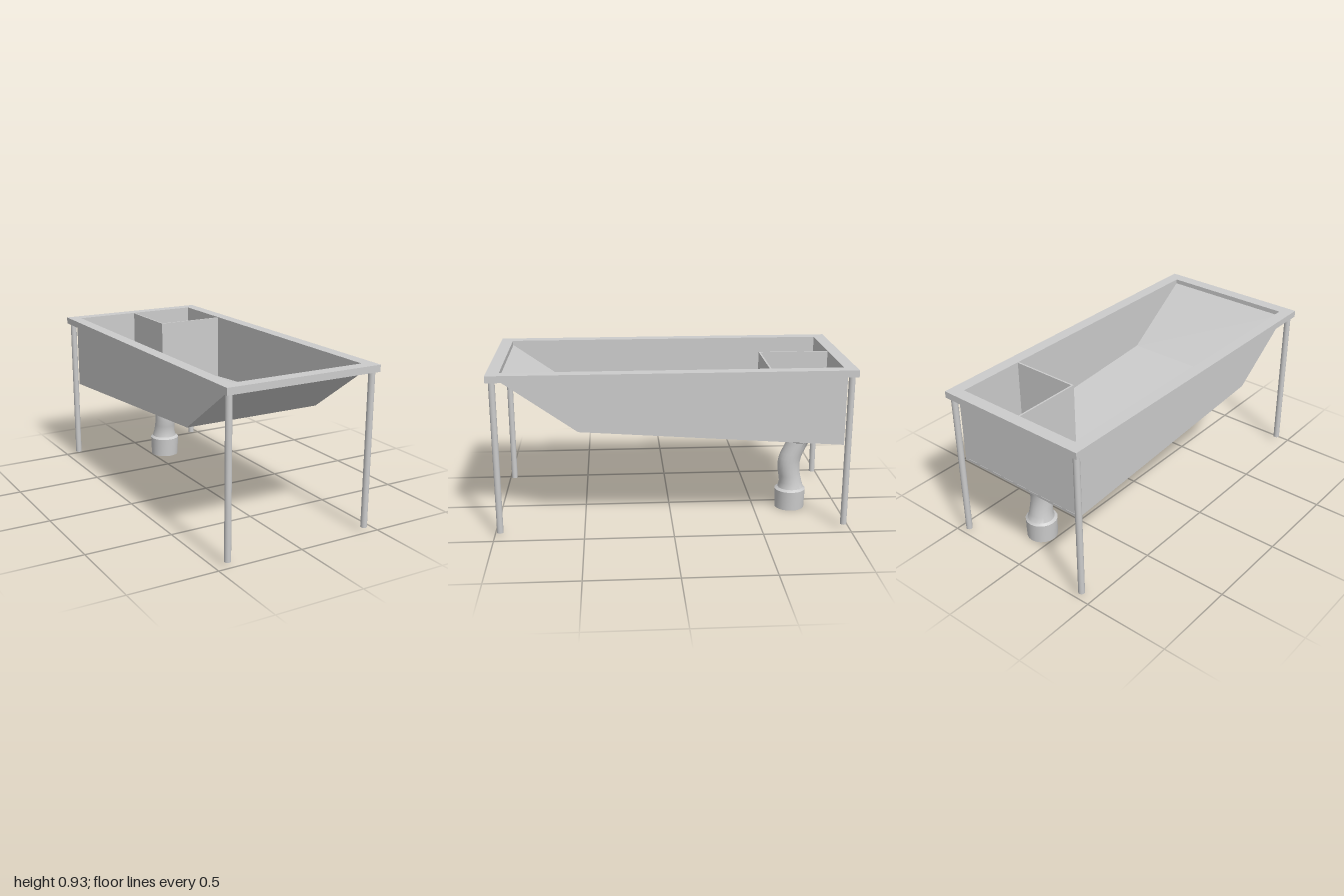
import * as THREE from 'three';
import { toCreasedNormals } from 'three/addons/utils/BufferGeometryUtils.js';

const DRAIN = { x: 0.088, z: -0.763, r: 0.087 };
const FLOOR_FRONT = [0.52, 0.595]; // z, y of the underside
const FLOOR_BACK = [-0.95, 0.49];
const SLOPE_TOP = [0.937, 0.89];

export function createModel() {
  const group = new THREE.Group();
  const grey = new THREE.MeshStandardMaterial({ color: 0xcccccc });
  const greyDouble = new THREE.MeshStandardMaterial({ color: 0xcccccc, side: THREE.DoubleSide });

  const add = (name, geometry, material = grey) => {
    const mesh = new THREE.Mesh(geometry, material);
    mesh.name = name;
    group.add(mesh);
    return mesh;
  };

  const rectangle = (ShapeType, x0, y0, x1, y1) => {
    const s = new ShapeType();
    s.moveTo(x0, y0).lineTo(x1, y0).lineTo(x1, y1).lineTo(x0, y1).closePath();
    return s;
  };

  const extrude = (shape, depth, curveSegments = 12) =>
    new THREE.ExtrudeGeometry(shape, { depth, bevelEnabled: false, curveSegments });

  // Upright sheet from [z, y] corners, spanning x to x + thickness
  const sheet = (corners, x, thickness) => {
    const shape = new THREE.Shape(corners.map(([z, y]) => new THREE.Vector2(-z, y)));
    return extrude(shape, thickness).rotateY(Math.PI / 2).translate(x, 0, 0);
  };

  // Matrix for a plane through [z, y] points a and b: local y runs a to b, local z points up
  const planeMatrix = (a, b) => {
    const right = new THREE.Vector3(1, 0, 0);
    const along = new THREE.Vector3(0, b[1] - a[1], b[0] - a[0]).normalize();
    const up = new THREE.Vector3().crossVectors(right, along);
    return new THREE.Matrix4().makeBasis(right, along, up).setPosition(0, a[1], a[0]);
  };

  // Rim
  const rim = rectangle(THREE.Shape, -0.46, -1, 0.46, 1);
  rim.holes.push(rectangle(THREE.Path, -0.39, -0.93, 0.39, 0.93));
  add('rim', extrude(rim, 0.038).rotateX(-Math.PI / 2).translate(0, 0.89, 0));

  // Side walls and back wall
  const profile = [SLOPE_TOP, FLOOR_FRONT, FLOOR_BACK, [-0.95, 0.89]];
  add('leftWall', sheet(profile, 0.39, 0.022));
  add('rightWall', sheet(profile, -0.412, 0.022));
  const back = new THREE.BoxGeometry(0.78, 0.4, 0.02);
  add('backWall', back.translate(0, 0.69, -0.94));

  // Floor with the drain opening
  const floorMatrix = planeMatrix(FLOOR_FRONT, FLOOR_BACK);
  const floorLength = Math.hypot(FLOOR_FRONT[0] - FLOOR_BACK[0], FLOOR_FRONT[1] - FLOOR_BACK[1]);
  const drainY = (FLOOR_FRONT[0] - DRAIN.z) * floorLength / (FLOOR_FRONT[0] - FLOOR_BACK[0]);
  const floor = rectangle(THREE.Shape, -0.39, 0, 0.39, floorLength);
  floor.holes.push(new THREE.Path().absarc(DRAIN.x, drainY, 0.08, 0, Math.PI * 2, true));
  add('floor', extrude(floor, 0.015).applyMatrix4(floorMatrix));

  // Sloping front panel
  const slopeLength = Math.hypot(SLOPE_TOP[0] - FLOOR_FRONT[0], SLOPE_TOP[1] - FLOOR_FRONT[1]);
  const slope = rectangle(THREE.Shape, -0.39, 0, 0.39, slopeLength);
  add('slopingPanel', extrude(slope, 0.015).applyMatrix4(planeMatrix(SLOPE_TOP, FLOOR_FRONT)));

  // Partitions around the drain compartment
  add('sidePartition', sheet([[-0.525, 0.925], [-0.525, 0.53], [-0.93, 0.5], [-0.93, 0.925]], -0.016, 0.01));
  const cross = new THREE.BoxGeometry(0.396, 0.395, 0.01);
  add('frontPartition', cross.translate(0.192, 0.7275, -0.53));

  // Drain grate: a disc with wedge-shaped slots
  const grate = new THREE.Shape().absarc(0, 0, DRAIN.r, 0, Math.PI * 2, false);
  const slots = 12;
  for (let i = 0; i < slots; i++) {
    const angle = (i + 0.5) * Math.PI * 2 / slots;
    const corner = (r, offset) => new THREE.Vector2(
      r * Math.cos(angle + offset), r * Math.sin(angle + offset));
    const slot = new THREE.Path();
    slot.setFromPoints([corner(0.018, -0.12), corner(0.076, -0.23), corner(0.078, 0),
      corner(0.076, 0.23), corner(0.018, 0.12)]);
    grate.holes.push(slot);
  }
  add('drainGrate', extrude(grate, 0.004).translate(DRAIN.x, drainY, 0.014).applyMatrix4(floorMatrix));

  // Bent drain pipe with a socket at each end: [height, radius, centre z]
  const rings = [
    [0, 0.087, -0.72], [0.115, 0.091, -0.72], [0.126, 0.076, -0.723], [0.16, 0.067, -0.722],
    [0.2, 0.065, -0.714], [0.24, 0.065, -0.708], [0.28, 0.065, -0.708], [0.31, 0.065, -0.713],
    [0.34, 0.065, -0.724], [0.38, 0.065, -0.743], [0.415, 0.066, -0.76],
    [0.435, 0.088, -0.76], [0.508, 0.088, -0.76],
  ];
  const sides = 20;
  const positions = [];
  const indices = [];
  rings.forEach(([y, r, z], j) => {
    for (let i = 0; i < sides; i++) {
      const a = i * Math.PI * 2 / sides;
      positions.push(0.09 + r * Math.sin(a), y, z + r * Math.cos(a));
      if (j === 0) continue;
      const next = (i + 1) % sides;
      const p = (j - 1) * sides + i, q = (j - 1) * sides + next;
      indices.push(p, q, q + sides, p, q + sides, p + sides);
    }
  });
  const pipe = new THREE.BufferGeometry();
  pipe.setAttribute('position', new THREE.Float32BufferAttribute(positions, 3));
  pipe.setIndex(indices);
  add('drainPipe', toCreasedNormals(pipe, 0.6), greyDouble);
  add('pipeEnd', new THREE.CircleGeometry(0.087, sides).rotateX(Math.PI / 2).translate(0.09, 0, -0.72));

  // Legs
  for (const x of [-1, 1]) {
    for (const z of [-1, 1]) {
      const leg = add(`${z > 0 ? 'front' : 'back'}${x > 0 ? 'Left' : 'Right'}Leg`,
        new THREE.CylinderGeometry(0.018, 0.018, 0.87, 16));
      leg.position.set(x * 0.43, 0.457, z * 0.968);
    }
  }

  return group;
}
